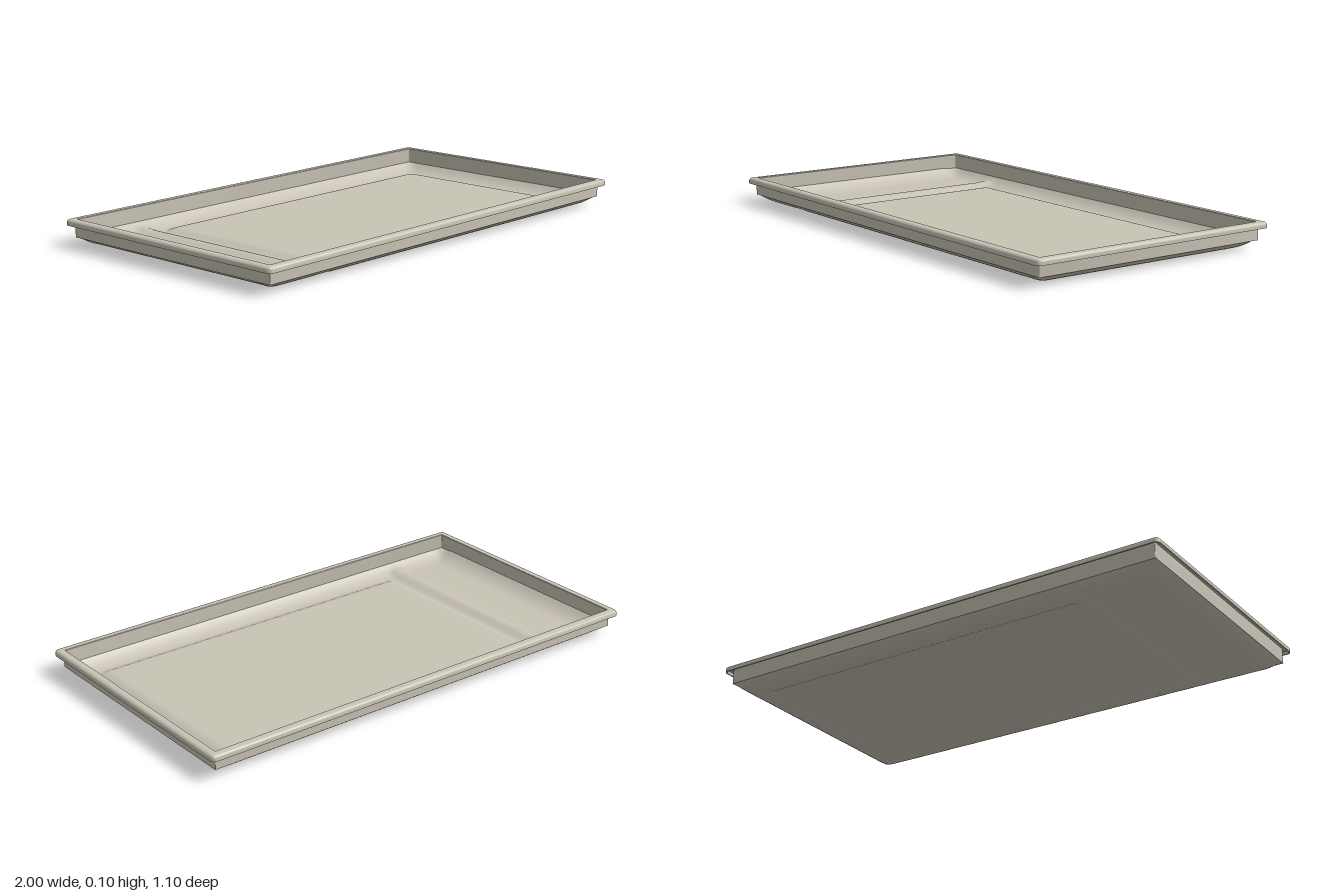
import * as THREE from 'three';
import { toCreasedNormals } from 'three/addons/utils/BufferGeometryUtils.js';

const HALF_X = 1, HALF_Z = 0.548;   // outer edge of the rim
const WALL_OUT = 0.027, WALL_IN = 0.034; // wall faces, measured in from the rim edge
const smooth = THREE.MathUtils.smoothstep;

// Height of the pressed floor: rounded border, raised panel, cross ridge, side bay
function floorHeight(x, z, hx, hz) {
  const border = d => 0.035 * Math.pow(Math.max(0, 1 - d / 0.1), 2.5);
  const az = Math.abs(z);
  const edge = Math.min(0.035, Math.hypot(border(Math.max(0, hx - Math.abs(x))), border(Math.max(0, hz - az))));
  const panel = 0.014 * smooth(x, -0.62, -0.57) * (1 - smooth(x, 0.845, 0.89)) * (1 - smooth(az, 0.395, 0.44));
  const ridge = 0.015 * (1 - smooth(Math.abs(x + 0.67), 0.005, 0.05)) * (1 - smooth(az, 0.45, 0.5));
  const bay = 0.004 * (1 - smooth(x, -0.71, -0.65)) * (1 - smooth(az, 0.43, 0.5));
  return edge + panel + ridge + bay;
}

// One sheet of the floor, facing up or down
function floorSheet(inset, lift, up) {
  const hx = HALF_X - inset, hz = HALF_Z - inset;
  const geo = new THREE.PlaneGeometry(hx * 2, hz * 2, 150, 84);
  geo.rotateX(up ? -Math.PI / 2 : Math.PI / 2);
  const p = geo.attributes.position;
  for (let i = 0; i < p.count; i++) p.setY(i, lift + floorHeight(p.getX(i), p.getZ(i), hx, hz));
  geo.computeVertexNormals();
  return geo;
}

// Sweep a profile of [inset, y] points round a rounded rectangle
function sweepRectangle(profile) {
  const pos = [], index = [], steps = 6, n = 4 * (steps + 1);
  for (const [inset, y] of profile) {
    const r = Math.max(0.02 - inset, 0.004);
    for (let c = 0; c < 4; c++) {
      const sx = c === 0 || c === 3 ? 1 : -1, sz = c < 2 ? -1 : 1;
      for (let k = 0; k <= steps; k++) {
        const a = (c + k / steps) * Math.PI / 2;
        pos.push(sx * (HALF_X - inset - r) + r * Math.cos(a), y, sz * (HALF_Z - inset - r) - r * Math.sin(a));
      }
    }
  }
  for (let i = 0; i < profile.length - 1; i++) {
    for (let j = 0; j < n; j++) {
      const a = i * n + j, b = i * n + (j + 1) % n, c = a + n, d = b + n;
      index.push(a, c, b, b, c, d);
    }
  }
  const geo = new THREE.BufferGeometry();
  geo.setAttribute('position', new THREE.Float32BufferAttribute(pos, 3));
  geo.setIndex(index);
  return toCreasedNormals(geo, 0.6);
}

export function createModel() {
  const group = new THREE.Group();
  group.name = 'tray';
  const stone = new THREE.MeshStandardMaterial({ color: 0xc8c3b5 });
  stone.name = 'warm grey';
  const add = (name, geo) => {
    const mesh = new THREE.Mesh(geo, stone);
    mesh.name = name;
    group.add(mesh);
  };

  // Pressed floor, inside and underside
  add('floorInside', floorSheet(WALL_IN, 0.008, true));
  add('floorUnderside', floorSheet(WALL_OUT, 0, false));

  // Inner wall, rolled over the top
  add('innerWall', sweepRectangle([[WALL_IN, 0.04], [WALL_IN, 0.103], [WALL_IN - 0.002, 0.105]]));

  // Rim with a rounded outer edge and a hollow lip underneath
  const rim = [[WALL_IN - 0.002, 0.105]];
  for (let k = 0; k <= 5; k++) {
    const a = k / 5 * Math.PI / 2;
    rim.push([0.012 * (1 - Math.sin(a)), 0.093 + 0.012 * Math.cos(a)]);
  }
  rim.push([0, 0.082], [0.006, 0.082], [0.006, 0.095], [WALL_OUT, 0.097]);
  add('rim', sweepRectangle(rim));

  // Outer wall
  add('outerWall', sweepRectangle([[WALL_OUT, 0.097], [WALL_OUT, 0.034]]));
  return group;
}
